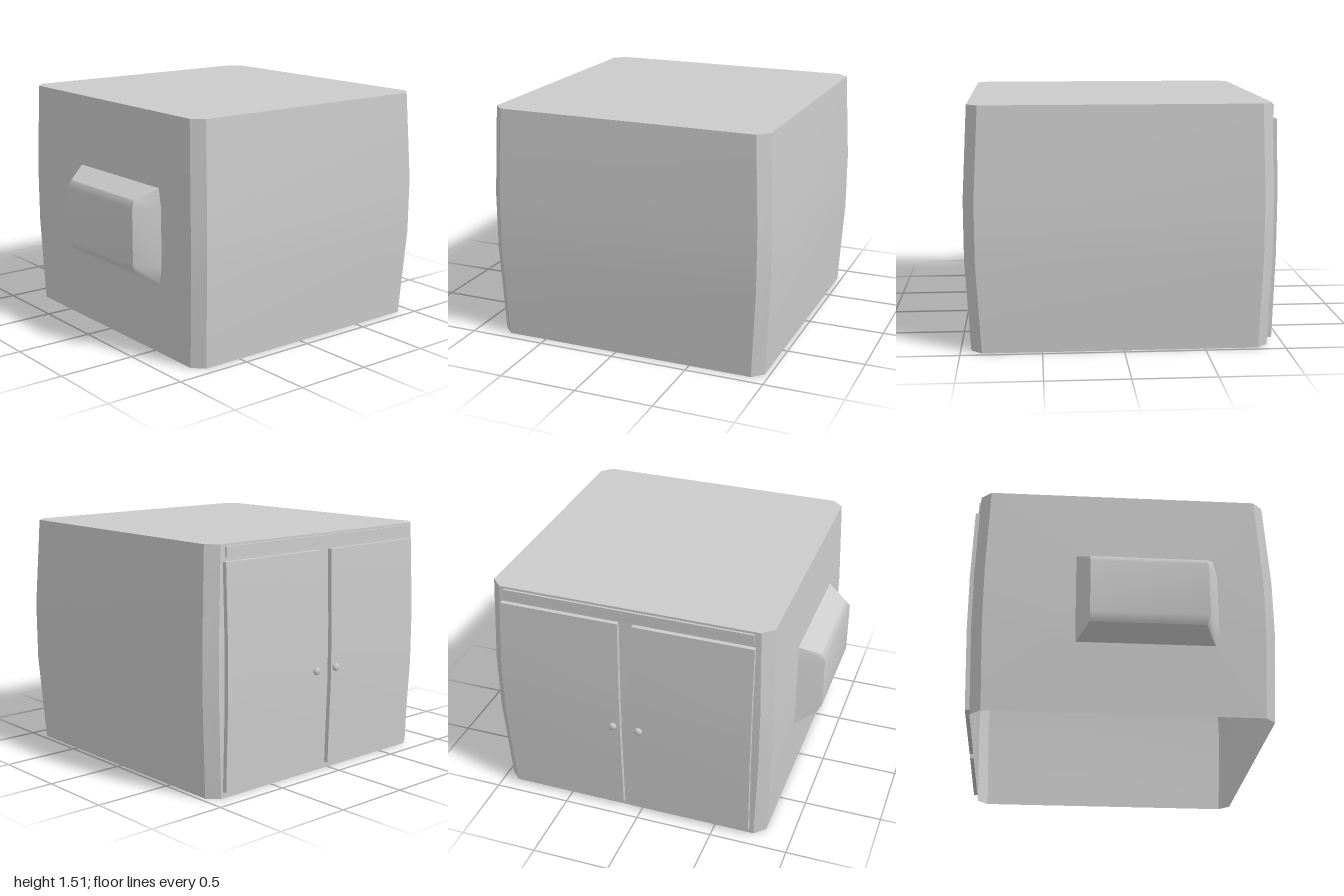
import * as THREE from 'three';

const material = new THREE.MeshStandardMaterial({ color: 0xcccccc, side: THREE.DoubleSide });
const HEIGHT = 1.51, LOW = 0.57, HIGH = 0.94, CHAMFER = 0.067;
const LEVELS = [0, LOW, HIGH, HEIGHT];

// Smooth sheet through rows of points
function sheet(rows) {
  const n = rows[0].length, index = [];
  for (let r = 0; r < rows.length - 1; r++) {
    for (let i = 0; i < n - 1; i++) {
      const a = r * n + i, b = a + n;
      index.push(a, a + 1, b + 1, a, b + 1, b);
    }
  }
  const geometry = new THREE.BufferGeometry();
  geometry.setAttribute('position', new THREE.Float32BufferAttribute(rows.flat(2), 3));
  geometry.setIndex(index);
  geometry.computeVertexNormals();
  return geometry;
}

function add(parent, name, geometry) {
  const mesh = new THREE.Mesh(geometry, material);
  mesh.name = name;
  parent.add(mesh);
  return mesh;
}

// Amount the walls lean inwards towards floor and roof, 0 to 1
const lean = y => Math.max(0, LOW - y, y - HIGH) / LOW;
const leftX = y => -0.915 + 0.018 * lean(y);

// Chamfered plan outline of the body at height y
function ring(y) {
  const t = lean(y), c = CHAMFER;
  const x0 = leftX(y), x1 = 0.965 - 0.03 * t, z0 = -1 + 0.03 * t, z1 = 0.843 - 0.018 * t;
  return [[x0 + c, y, z1], [x1 - c, y, z1], [x1, y, z1 - c], [x1, y, z0 + c],
    [x1 - c, y, z0], [x0 + c, y, z0], [x0, y, z0 + c], [x0, y, z1 - c]];
}

const DOOR_BOTTOM = 0.04, DOOR_TOP = 1.41;
const DOORS = [[-0.89, -0.12], [-0.03, 0.73]];
const DOOR_LEVELS = [DOOR_BOTTOM, LOW, HIGH, DOOR_TOP];

function buildBody(group) {
  const rings = LEVELS.map(ring);
  const names = ['', 'frontLeftChamfer', 'leftWall', 'backLeftChamfer', 'backWall',
    'backRightChamfer', '', 'frontRightChamfer'];
  names.forEach((name, i) => {
    if (name) add(group, name, sheet(rings.map(r => [r[i], r[(i + 1) % 8]])));
  });

  // Flat roof; the underside stays open
  const outline = ring(HEIGHT).map(([x, , z]) => new THREE.Vector2(x, -z));
  const roof = new THREE.ShapeGeometry(new THREE.Shape(outline));
  roof.rotateX(-Math.PI / 2).translate(0, HEIGHT, 0);
  add(group, 'roof', roof);

  // Wall strips around the two door openings
  const backEdge = y => ring(y)[6][2], frontEdge = y => ring(y)[7][2];
  const strip = (levels, za, zb) => sheet(levels.map(y => [[leftX(y), y, za(y)], [leftX(y), y, zb(y)]]));
  add(group, 'doorSill', strip([0, DOOR_BOTTOM], backEdge, frontEdge));
  add(group, 'doorLintel', strip([DOOR_TOP, HEIGHT], backEdge, frontEdge));
  add(group, 'backDoorPost', strip(DOOR_LEVELS, backEdge, () => DOORS[0][0]));
  add(group, 'middleDoorPost', strip(DOOR_LEVELS, () => DOORS[0][1], () => DOORS[1][0]));
  add(group, 'frontDoorPost', strip(DOOR_LEVELS, () => DOORS[1][1], frontEdge));
  const header = add(group, 'doorHeader', new THREE.BoxGeometry(0.016, 0.065, 1.59));
  header.position.set(-0.903, 1.463, -0.075);
}

// Front wall flowing into a protruding bay
function buildFront(group) {
  const rings = LEVELS.map(ring);
  const outer = [...rings.map(r => r[0]), ...rings.map(r => r[1]).reverse()];
  const half = (x, ys, zs) => ys.map((y, i) => [x[i], y, zs[i]]);
  const loop = (left, rightEnd, rightMid, ys, zEnd, zMid) => {
    const zs = [zEnd, zMid, zMid, zEnd];
    return [...half([left, left, left, left], ys, zs),
      ...half([rightEnd, rightMid, rightMid, rightEnd], ys, zs).reverse()];
  };
  const base = loop(-0.28, 0.58, 0.605, [0.46, LOW, HIGH, 1.055], 0.84, 0.843);
  const face = loop(-0.2, 0.51, 0.53, [0.535, 0.59, HIGH, 0.985], 0.972, 1);
  for (const [name, from, to] of [['Right', 0, 3], ['Top', 3, 4], ['Left', 4, 7], ['Bottom', 7, 8]]) {
    const part = points => [...points, points[0]].slice(from, to + 1);
    add(group, 'frontWall' + name, sheet([part(base), part(outer)]));
    add(group, 'bay' + name, sheet([part(face), part(base)]));
  }
  add(group, 'bayFace', sheet([0, 1, 2, 3].map(i => [face[i], face[7 - i]])));
}

// Bowed door panel with its rim and knob
function buildDoor(group, [z0, z1], knobZ) {
  const door = new THREE.Group();
  door.name = 'door';
  const outX = y => leftX(y) - 0.029;
  const edge = (xAt, z) => DOOR_LEVELS.map(y => [xAt(y), y, z]);
  add(door, 'doorPanel', sheet([edge(outX, z1), edge(outX, z0)]));
  for (const z of [z0, z1]) add(door, 'doorSide', sheet([edge(outX, z), edge(leftX, z)]));
  for (const y of [DOOR_BOTTOM, DOOR_TOP]) {
    add(door, 'doorEnd', sheet([[[outX(y), y, z0], [outX(y), y, z1]],
      [[leftX(y), y, z0], [leftX(y), y, z1]]]));
  }
  const profile = [[0, 0], [0.014, 0], [0.014, 0.025], [0.025, 0.033], [0.024, 0.045], [0.015, 0.053], [0, 0.055]]
    .map(([r, h]) => new THREE.Vector2(r, h));
  const knob = add(door, 'knob', new THREE.LatheGeometry(profile, 16));
  knob.rotation.z = Math.PI / 2;
  knob.position.set(-0.915, 0.665, knobZ);
  group.add(door);
}

export function createModel() {
  const group = new THREE.Group();
  group.name = 'cabin';
  buildBody(group);
  buildFront(group);
  buildDoor(group, DOORS[0], -0.165);
  buildDoor(group, DOORS[1], 0.005);
  return group;
}
